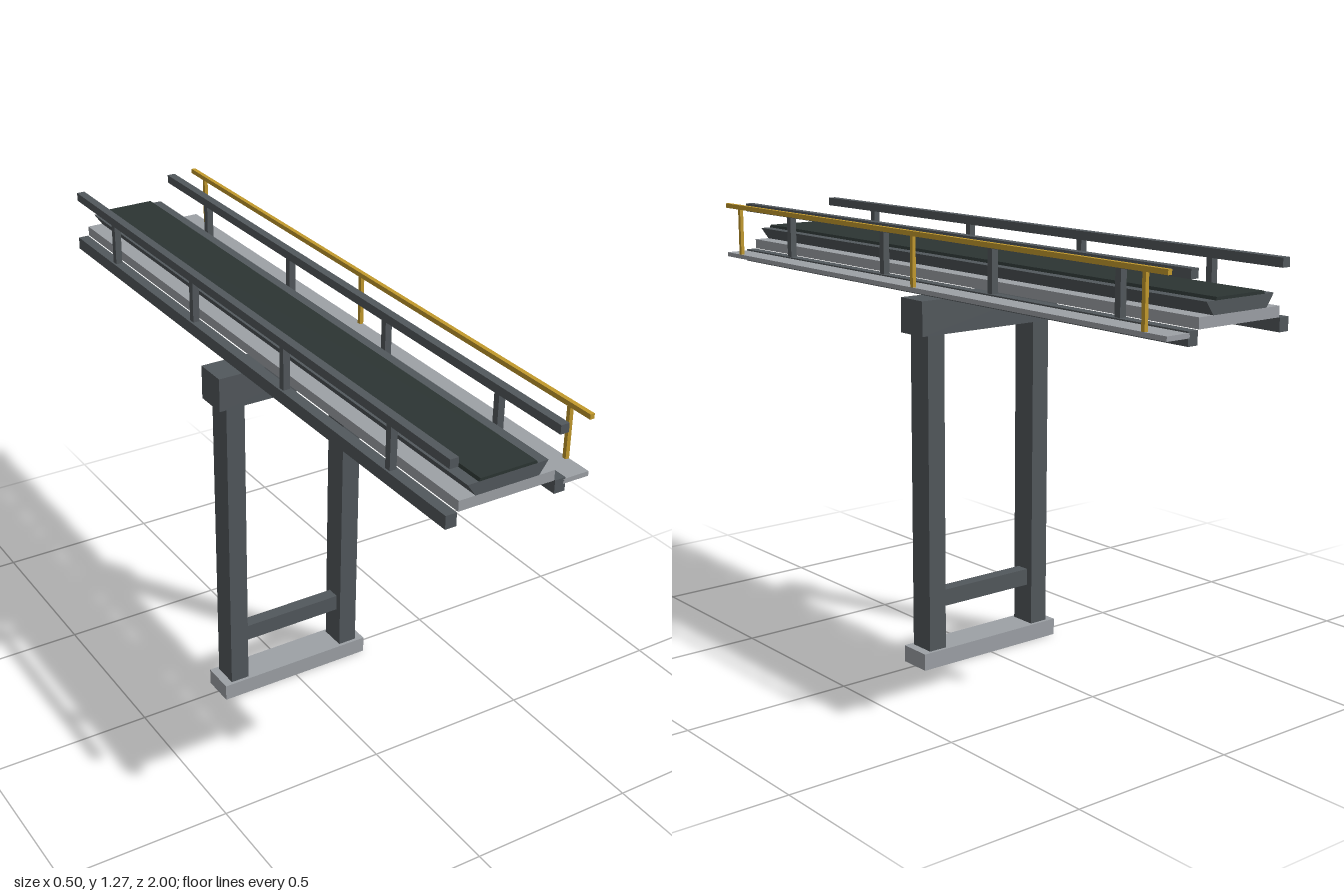
import * as THREE from 'three';

const mat = (name, color) => {
  const m = new THREE.MeshStandardMaterial({ color });
  m.name = name;
  return m;
};

export function createModel() {
  const steel = mat('dark steel', 0x52585c);
  const concrete = mat('light grey', 0x9da1a6);
  const rubber = mat('belt rubber', 0x2c3533);
  const yellow = mat('safety yellow', 0xc39a2c);
  const model = new THREE.Group();
  model.name = 'elevatedConveyor';

  const group = (name) => {
    const g = new THREE.Group();
    g.name = name;
    model.add(g);
    return g;
  };
  // Box given by its limits in x and y, its length in z and its z centre
  const box = (parent, name, material, x0, x1, y0, y1, depth, z = 0) => {
    const mesh = new THREE.Mesh(new THREE.BoxGeometry(x1 - x0, y1 - y0, depth), material);
    mesh.name = name;
    mesh.position.set((x0 + x1) / 2, (y0 + y1) / 2, z);
    parent.add(mesh);
  };
  // Trapezoid section run along the full length
  const trapezoid = (parent, name, material, halfBottom, halfTop, y0, y1) => {
    const shape = new THREE.Shape([
      new THREE.Vector2(-halfBottom, y0), new THREE.Vector2(halfBottom, y0),
      new THREE.Vector2(halfTop, y1), new THREE.Vector2(-halfTop, y1),
    ]);
    const geo = new THREE.ExtrudeGeometry(shape, { depth: 2, bevelEnabled: false });
    geo.translate(0, 0, -1);
    const mesh = new THREE.Mesh(geo, material);
    mesh.name = name;
    parent.add(mesh);
  };

  // Support frame
  const support = group('support');
  box(support, 'footing', concrete, -0.248, 0.248, 0, 0.05, 0.1);
  for (const s of [-1, 1]) {
    box(support, 'leg', steel, s * 0.193 - 0.029, s * 0.193 + 0.029, 0.05, 0.985, 0.08);
  }
  box(support, 'crossBrace', steel, -0.165, 0.165, 0.17, 0.22, 0.04);
  box(support, 'capBeam', steel, -0.248, 0.248, 0.985, 1.085, 0.1);

  // Side girders with posts and top rails
  for (const s of [-1, 1]) {
    const side = group(s > 0 ? 'leftGirder' : 'rightGirder');
    const x = s * 0.16;
    box(side, 'lowerRail', steel, x - 0.016, x + 0.016, 1.085, 1.122, 2);
    box(side, 'upperRail', steel, x - 0.0125, x + 0.0125, 1.245, 1.27, 2);
    for (const z of [-0.75, -0.25, 0.25, 0.75]) {
      box(side, 'post', steel, x - 0.01, x + 0.01, 1.122, 1.245, 0.02, z);
    }
  }

  // Conveyor deck, trough and belt
  const conveyor = group('conveyor');
  box(conveyor, 'deck', concrete, -0.141, 0.141, 1.123, 1.152, 2);
  trapezoid(conveyor, 'trough', steel, 0.093, 0.118, 1.152, 1.187);
  trapezoid(conveyor, 'belt', rubber, 0.086, 0.082, 1.187, 1.195);

  // Walkway with safety handrail
  const walkway = group('walkway');
  box(walkway, 'walkwayPlate', concrete, 0.17, 0.247, 1.105, 1.118, 2);
  box(walkway, 'handrail', yellow, 0.235, 0.248, 1.261, 1.275, 2);
  for (const z of [-0.92, 0, 0.92]) {
    box(walkway, 'handrailPost', yellow, 0.236, 0.247, 1.118, 1.261, 0.012, z);
  }
  return model;
}
